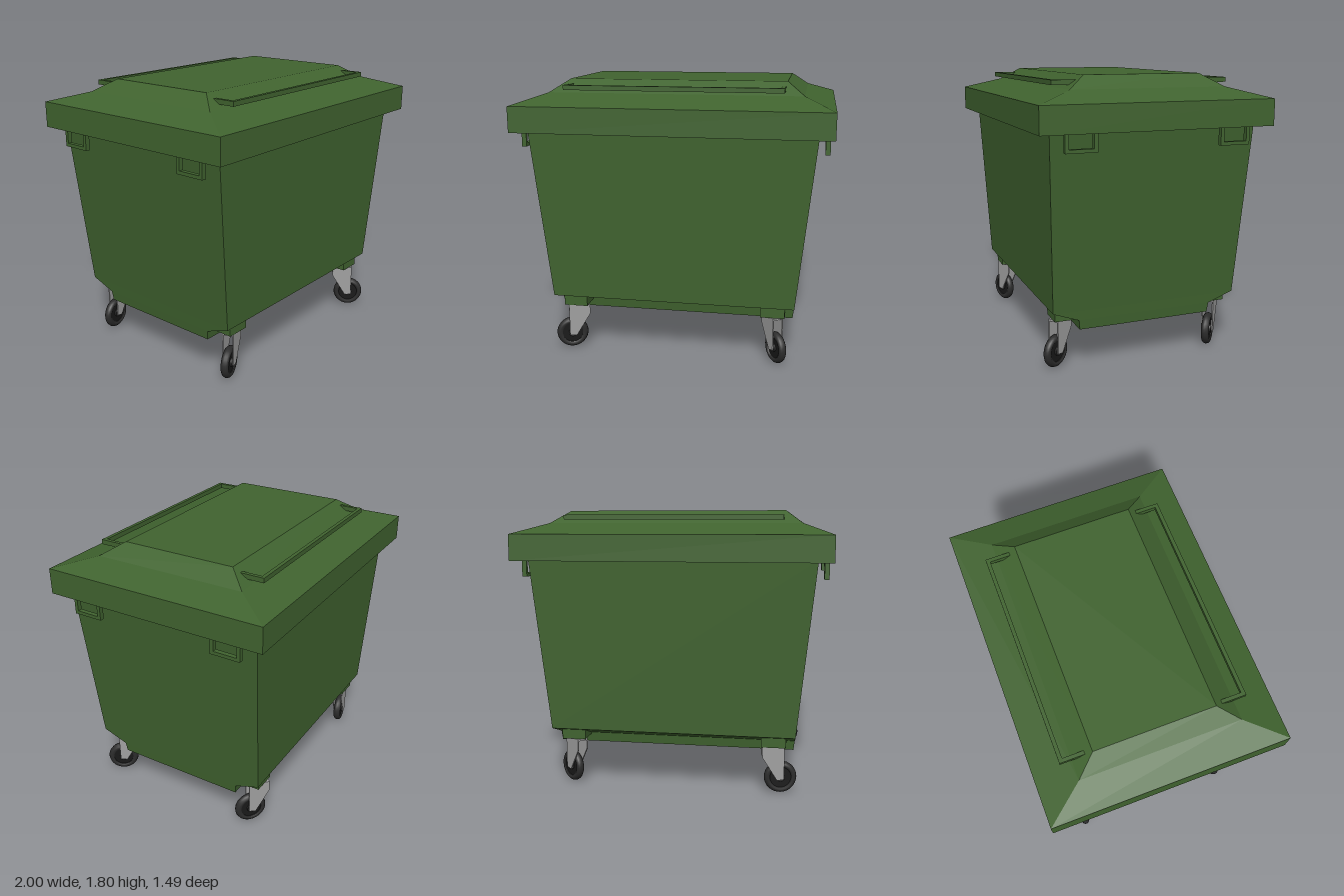
import * as THREE from 'three';

const mat = (color) => new THREE.MeshStandardMaterial({ color });
const green = mat(0x40632f);
const steel = mat(0xa0a0a0);
const rubber = mat(0x2c2c2c);
const hubDark = mat(0x191919);
green.flatShading = true;

function add(parent, name, geometry, material, x = 0, y = 0, z = 0) {
  const mesh = new THREE.Mesh(geometry, material);
  mesh.name = name;
  mesh.position.set(x, y, z);
  parent.add(mesh);
  return mesh;
}

// Box given by its limits on each axis
function block(parent, name, [x0, x1], [y0, y1], [z0, z1]) {
  return add(parent, name, new THREE.BoxGeometry(x1 - x0, y1 - y0, z1 - z0), green,
    (x0 + x1) / 2, (y0 + y1) / 2, (z0 + z1) / 2);
}

// Closed solid through stacked rectangles [halfX, halfZ, y], bottom to top
function loft(levels) {
  const rings = levels.map(([x, z, y]) => [[-x, y, z], [x, y, z], [x, y, -z], [-x, y, -z]]);
  const pos = [];
  const quad = (a, b, c, d) => pos.push(...a, ...b, ...c, ...a, ...c, ...d);
  for (let k = 0; k < rings.length - 1; k++) {
    for (let i = 0; i < 4; i++) {
      const j = (i + 1) % 4;
      quad(rings[k][i], rings[k][j], rings[k + 1][j], rings[k + 1][i]);
    }
  }
  quad(...[...rings[0]].reverse());
  quad(...rings[rings.length - 1]);
  const g = new THREE.BufferGeometry();
  g.setAttribute('position', new THREE.Float32BufferAttribute(pos, 3));
  g.computeVertexNormals();
  return g;
}

// Swivel caster: origin below the pin, wheel trails towards local +z
function createCaster() {
  const caster = new THREE.Group();
  caster.name = 'caster';
  const trail = 0.045, radius = 0.105;

  // Fork: two tapering cheeks and a top plate
  const outline = [[-0.075, 0.31], [-0.075, 0.24], [0.02, 0.088], [0.065, 0.095], [0.065, 0.31]];
  const cheek = new THREE.ExtrudeGeometry(
    new THREE.Shape(outline.map(([u, y]) => new THREE.Vector2(u, y))),
    { depth: 0.008, bevelEnabled: false });
  cheek.rotateY(-Math.PI / 2);
  for (const x of [-0.03, 0.038]) add(caster, 'forkCheek', cheek, steel, x);
  add(caster, 'forkTop', new THREE.BoxGeometry(0.076, 0.012, 0.14), steel, 0, 0.304, -0.005);

  // Tyre with rounded tread
  const tyre = [[0.068, -0.02], [0.078, -0.026], [0.09, -0.024], [0.1, -0.015], [radius, 0],
    [0.1, 0.015], [0.09, 0.024], [0.078, 0.026], [0.068, 0.02], [0.068, -0.02]];
  const tyreGeo = new THREE.LatheGeometry(tyre.map((p) => new THREE.Vector2(...p)), 32);
  tyreGeo.rotateZ(Math.PI / 2);
  add(caster, 'tyre', tyreGeo, rubber, 0, radius, trail);

  // Recessed disc, hub and axle
  const disc = (name, r, w, m) => add(caster, name,
    new THREE.CylinderGeometry(r, r, w, 24).rotateZ(Math.PI / 2), m, 0, radius, trail);
  disc('wheelDisc', 0.07, 0.03, hubDark);
  disc('hub', 0.028, 0.056, rubber);
  disc('axle', 0.009, 0.07, steel);
  return caster;
}

export function createModel() {
  const model = new THREE.Group();
  model.name = 'wheeledContainer';

  // Tapered body with stepped-in base
  add(model, 'body', loft([
    [0.78, 0.44, 0.26], [0.787, 0.447, 0.322], [0.793, 0.615, 0.385], [0.908, 0.66, 1.5],
  ]), green);

  // Hipped lid with deep rim
  add(model, 'lid', loft([
    [1, 0.745, 1.487], [1, 0.745, 1.652], [0.81, 0.505, 1.72], [0.7, 0.38, 1.8],
  ]), green);

  // Lid handles, front and back
  for (const s of [1, -1]) {
    const handle = new THREE.Group();
    handle.name = 'lidHandle';
    const y = [1.742, 1.772];
    const zRange = (a, b) => (s > 0 ? [a, b] : [-b, -a]);
    block(handle, 'handleBar', [-0.692, 0.692], y, zRange(0.553, 0.577));
    block(handle, 'handleArm', [-0.692, -0.668], y, zRange(0.41, 0.553));
    block(handle, 'handleArm', [0.668, 0.692], y, zRange(0.41, 0.553));
    model.add(handle);
  }

  const swivel = { '1,1': 35, '1,-1': 50, '-1,1': -70, '-1,-1': -80 };
  for (const sx of [1, -1]) {
    for (const sz of [1, -1]) {
      // U-shaped lifting loop under the lid rim
      const loop = new THREE.Group();
      loop.name = 'liftingLoop';
      const x = [-0.015, 0.015];
      block(loop, 'loopBottom', x, [1.378, 1.4], [-0.098, 0.098]);
      block(loop, 'loopLeg', x, [1.4, 1.49], [-0.098, -0.076]);
      block(loop, 'loopLeg', x, [1.4, 1.49], [0.076, 0.098]);
      loop.position.set(sx * 0.96, 0, sz * 0.492);
      model.add(loop);

      // Caster mount and caster
      add(model, 'casterMount', new THREE.BoxGeometry(0.156, 0.065, 0.14), green,
        sx * 0.655, 0.3425, sz * 0.515);
      const caster = createCaster();
      caster.position.set(sx * 0.655, 0, sz * 0.53);
      caster.rotation.y = THREE.MathUtils.degToRad(swivel[`${sx},${sz}`]);
      model.add(caster);
    }
  }
  return model;
}
